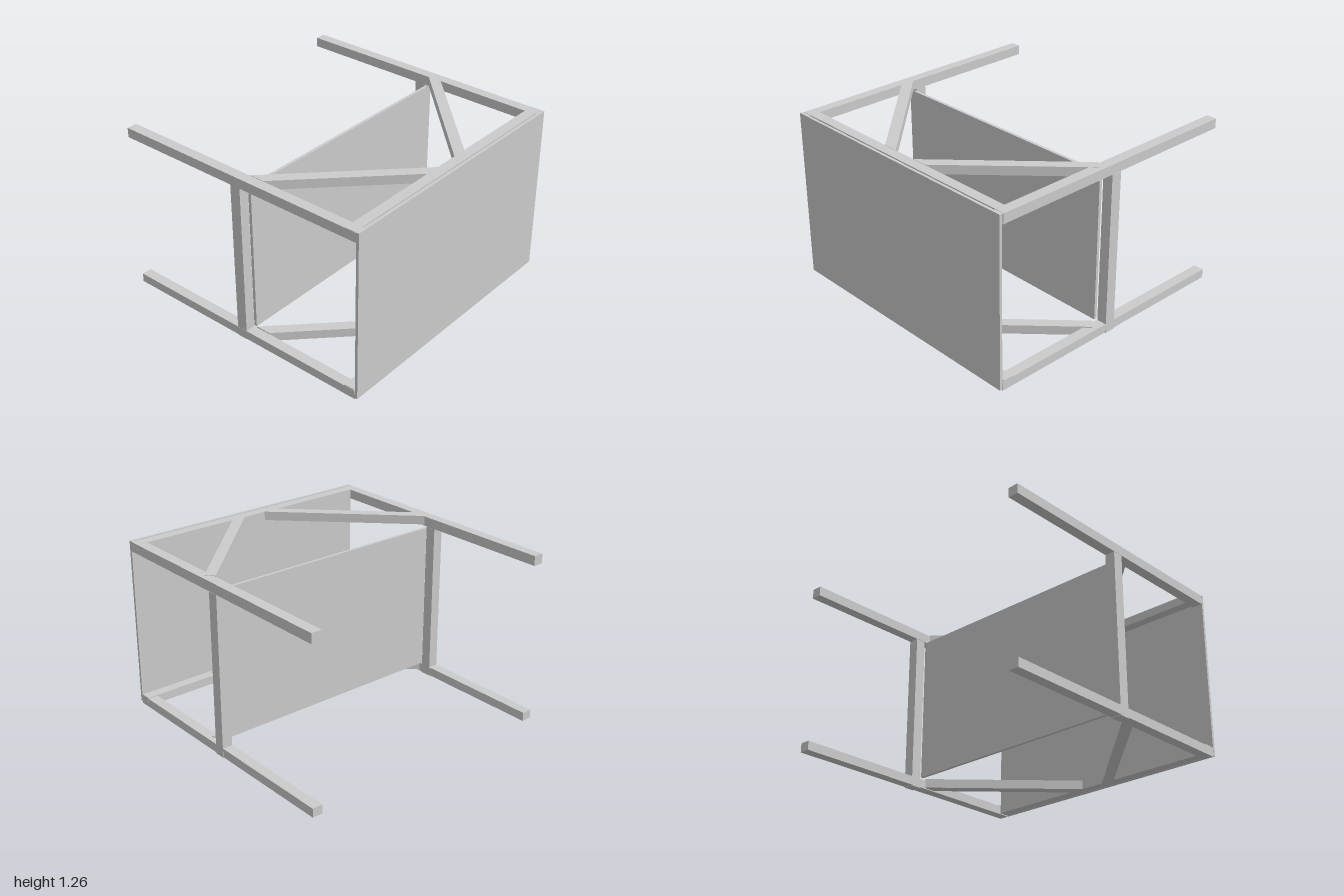
import * as THREE from 'three';

export function createModel() {
  const model = new THREE.Group();
  const material = new THREE.MeshStandardMaterial({ color: 0xcccccc, flatShading: true });

  const add = (name, geometry) => {
    const mesh = new THREE.Mesh(geometry, material);
    mesh.name = name;
    model.add(mesh);
    return mesh;
  };

  // Box given by its extents on each axis
  const bar = (name, [x0, x1], [y0, y1], [z0, z1]) => {
    add(name, new THREE.BoxGeometry(x1 - x0, y1 - y0, z1 - z0))
      .position.set((x0 + x1) / 2, (y0 + y1) / 2, (z0 + z1) / 2);
  };

  // Flat outline in x and z, raised from y0 to y1
  const slab = (name, outline, y0, y1) => {
    const shape = new THREE.Shape(outline.map(([x, z]) => new THREE.Vector2(x, -z)));
    const geometry = new THREE.ExtrudeGeometry(shape, { depth: y1 - y0, bevelEnabled: false });
    geometry.rotateX(-Math.PI / 2);
    add(name, geometry).position.y = y0;
  };

  // Large front panel and the smaller shelf panel behind it
  bar('frontPanel', [-1, 0.995], [0.015, 1.26], [0.98, 1]);
  bar('shelfPanel', [-0.925, 0.915], [0.08, 1.175], [0.04, 0.062]);

  // Long legs and the uprights joining them
  for (const [side, x] of [['right', [-1, -0.925]], ['left', [0.92, 0.997]]]) {
    bar(side + 'LowerLeg', x, [0.005, 0.07], [-0.995, 0.978]);
    bar(side + 'UpperLeg', x, [1.187, 1.257], [-0.995, 0.978]);
    bar(side + 'Upright', side === 'left' ? [0.922, 0.999] : [-0.999, -0.924], [0, 1.187], [-0.042, 0.038]);
  }

  // Cross rail and pair of diagonal braces on each frame
  for (const [level, y0, y1] of [['lower', 0.012, 0.078], ['upper', 1.195, 1.26]]) {
    bar(level + 'CrossRail', [-0.998, 0.998], [y0, y1 - 0.001], [0.893, 0.968]);
    slab(level + 'RightBrace', [[-0.925, 0.065], [-0.925, 0.175], [-0.2, 0.893], [-0.09, 0.893]], y0, y1);
    slab(level + 'LeftBrace', [[0.912, 0.082], [0.965, 0.135], [0.2, 0.893], [0.09, 0.893]], y0, y1);
  }

  return model;
}
